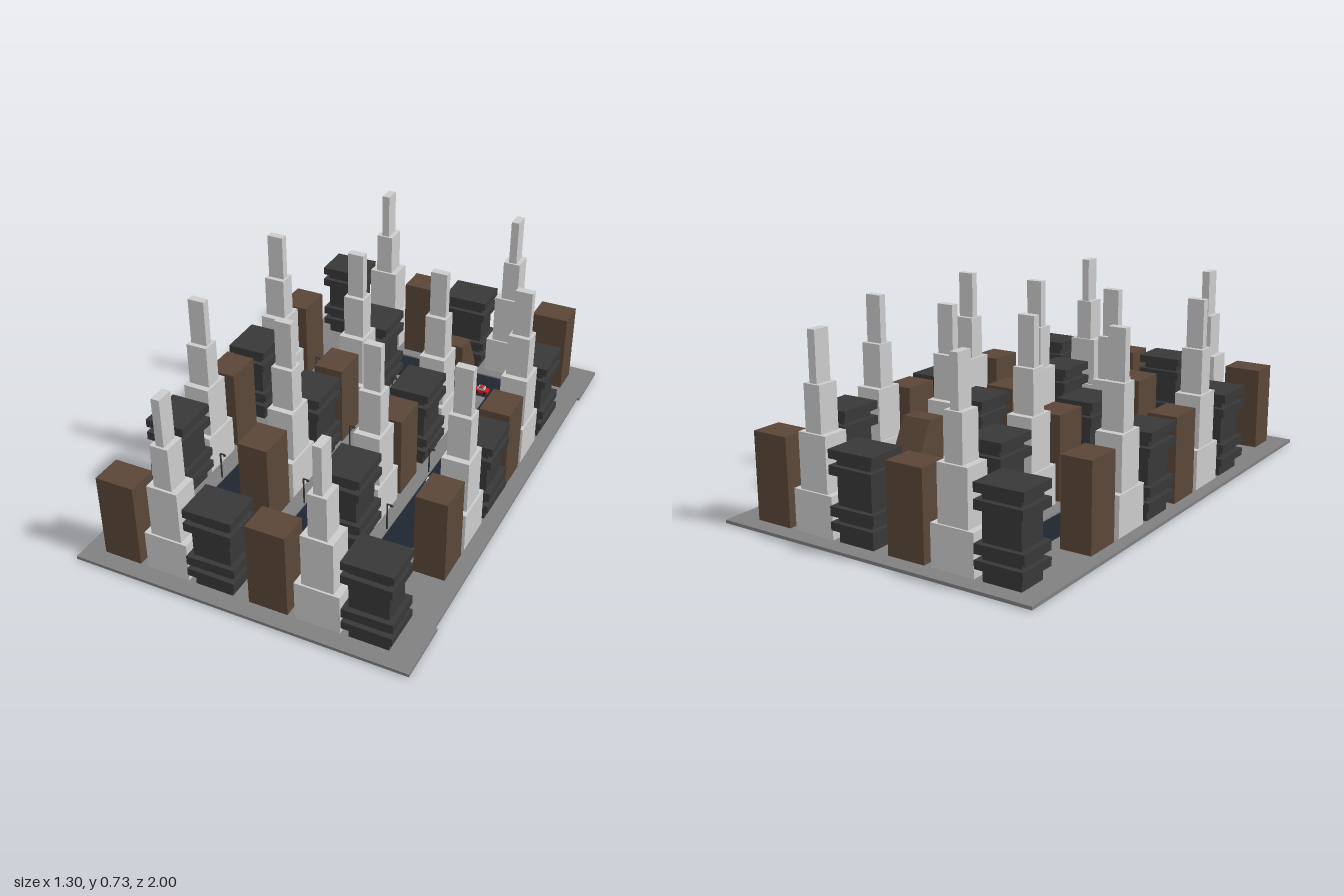
import * as THREE from 'three';

const mat = (color) => new THREE.MeshStandardMaterial({ color, flatShading: true });
const M = {
  stone: mat(0xcccccc), paving: mat(0x808080), road: mat(0x1f2630),
  brown: mat(0x5a4638), black: mat(0x383838), glass: mat(0x7fd8e0), tyre: mat(0x151515),
};
const GROUND = 0.015;

// Box spanning y0..y1, centred on x, z
function block(name, material, w, d, y0, y1, x = 0, z = 0) {
  const mesh = new THREE.Mesh(new THREE.BoxGeometry(w, y1 - y0, d), material);
  mesh.position.set(x, (y0 + y1) / 2, z);
  mesh.name = name;
  return mesh;
}

function named(name, ...parts) {
  const g = new THREE.Group();
  g.name = name;
  if (parts.length) g.add(...parts);
  return g;
}

// Four-step tower
function tower() {
  const tiers = [[0.17, 0.12, 0.17], [0.12, 0.105, 0.375], [0.07, 0.085, 0.545], [0.032, 0.067, 0.73]];
  const g = named('steppedTower');
  let y = GROUND - 0.003;
  for (const [w, d, top] of tiers) {
    g.add(block('towerTier', M.stone, w, d, y, top));
    y = top;
  }
  return g;
}

// Plain brown block
const brownBlock = () => named('brownBlock', block('brownWalls', M.brown, 0.15, 0.12, GROUND - 0.003, 0.345));

// Brown block with its back half cut to a slope
function slopedBlock() {
  const s = new THREE.Shape([[-0.075, 0.012], [0.075, 0.012], [0.075, 0.345], [0, 0.345], [-0.075, 0.2]]
    .map(([a, b]) => new THREE.Vector2(a, b)));
  const geo = new THREE.ExtrudeGeometry(s, { depth: 0.12, bevelEnabled: false });
  geo.translate(0, 0, -0.06);
  const mesh = new THREE.Mesh(geo, M.brown);
  mesh.name = 'slopedWalls';
  return named('slopedBrownBlock', mesh);
}

// Dark block with projecting floor bands
function bandedBlock() {
  const g = named('bandedBlock', block('bandedCore', M.black, 0.147, 0.118, GROUND - 0.003, 0.335));
  const bands = [[0.06, 0.09], [0.112, 0.147], [0.257, 0.29], [0.315, 0.347]];
  bands.forEach(([y0, y1], i) => {
    const b = block('floorBand', M.black, 0.186, 0.157, y0, y1);
    b.rotation.y = 0.02 * (i % 2 ? 1 : -0.5);
    g.add(b);
  });
  return g;
}

// Car pointing along x
function car(color) {
  const paint = mat(color);
  const g = named('car',
    block('carBody', paint, 0.06, 0.028, 0.014, 0.027),
    block('carWindows', M.glass, 0.03, 0.024, 0.027, 0.037),
    block('carRoof', paint, 0.018, 0.025, 0.037, 0.04));
  for (const x of [-0.018, 0.018]) for (const z of [-0.013, 0.013]) {
    const wheel = new THREE.Mesh(new THREE.CylinderGeometry(0.006, 0.006, 0.005, 10), M.tyre);
    wheel.rotation.x = Math.PI / 2;
    wheel.position.set(x, 0.015, z);
    wheel.name = 'carWheel';
    g.add(wheel);
  }
  return g;
}

// Street lamp with its arm along +x
function lamp() {
  return named('streetLamp',
    block('lampPost', M.black, 0.005, 0.005, 0.012, 0.13),
    block('lampArm', M.black, 0.022, 0.004, 0.127, 0.131, 0.009),
    block('lampHead', M.black, 0.01, 0.007, 0.123, 0.128, 0.018));
}

export function createModel() {
  const root = named('cityBlocks');
  const place = (obj, x, z, turn = 0) => {
    obj.position.set(x, 0, z);
    obj.rotation.y = turn;
    root.add(obj);
  };

  // Road and pavements
  root.add(block('road', M.road, 0.83, 1.54, 0, 0.009, -0.005, 0));
  const paving = (name, x0, x1, z0, z1) => root.add(
    block(name, M.paving, x1 - x0, z1 - z0, 0.003, GROUND, (x0 + x1) / 2, (z0 + z1) / 2));
  paving('backPavement', -0.65, 0.65, -1, -0.77);
  paving('frontPavement', -0.65, 0.65, 0.77, 1);
  paving('rightPavement', -0.65, -0.42, -0.77, 0.77);
  paving('leftPavement', 0.41, 0.64, -0.77, 0.77);
  paving('rightIsland', -0.29, -0.06, -0.6, 0.59);
  paving('leftIsland', 0.05, 0.285, -0.6, 0.59);

  // Buildings repeat in threes along the end rows and the four columns
  const make = { K: bandedBlock, T: tower, B: brownBlock, S: slopedBlock };
  const spots = [-0.495, -0.303, -0.115, 0.097, 0.285, 0.475];
  [...'KTBKTB'].forEach((k, i) => place(make[k](), spots[i], -0.875));
  [...'BTKBTK'].forEach((k, i) => place(make[k](), spots[i], 0.873));
  const columns = [[-0.54, 'BTKBTK'], [-0.177, 'KTBKTB'], [0.178, 'STKBTK'], [0.52, 'KTBKTB']];
  for (const [x, kinds] of columns) {
    [...kinds].forEach((k, i) => place(make[k](), x, spots[i] - 0.006, -Math.PI / 2));
  }

  // Cars: x, z, colour, along z?
  const cars = [
    [-0.315, -0.73, 0xd9713a, 0], [0.255, -0.64, 0xe01818, 0], [0.375, -0.515, 0xd9713a, 1],
    [0.025, -0.3, 0x7d95e8, 1], [-0.33, -0.05, 0x151515, 1], [0.315, 0.06, 0xd8d8d8, 1],
    [-0.03, 0.275, 0xd42a20, 1], [-0.385, 0.53, 0x1f5a25, 1], [0.21, 0.73, 0xd8d020, 0],
  ];
  for (const [x, z, color, turned] of cars) place(car(color), x, z, turned ? Math.PI / 2 : 0);

  // Street lamps at the kerbs, arms over the road
  for (const z of [-0.41, -0.01, 0.375]) {
    for (const x of [-0.427, -0.065, 0.28]) place(lamp(), x, z);
    for (const x of [-0.285, 0.055, 0.417]) place(lamp(), x, z, Math.PI);
  }
  for (const x of [-0.4, 0, 0.385]) {
    place(lamp(), x, -0.782, -Math.PI / 2);
    place(lamp(), x, 0.782, Math.PI / 2);
  }
  return root;
}
